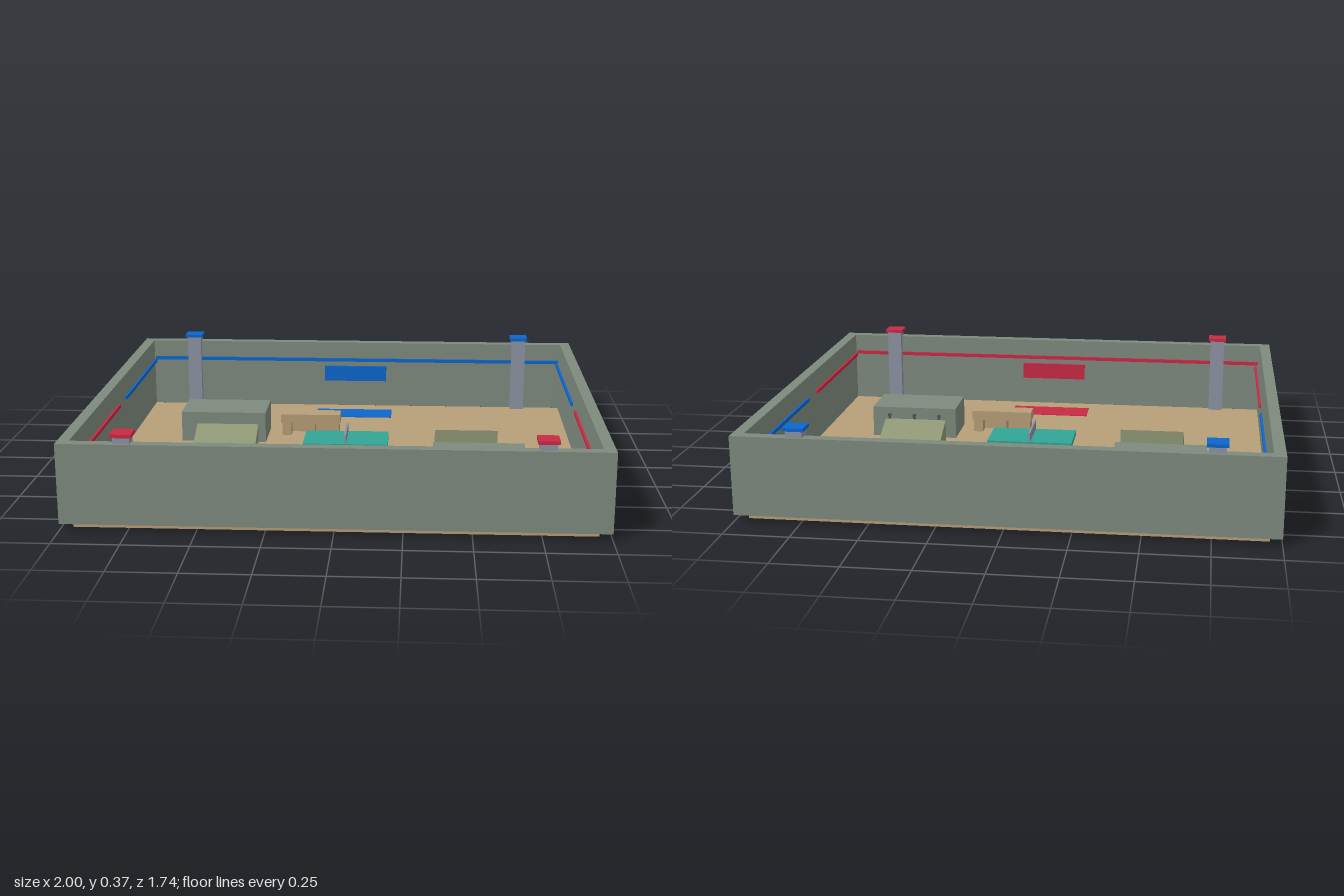
import * as THREE from 'three';

const mat = (name, color) => {
  const m = new THREE.MeshStandardMaterial({ color });
  m.name = name;
  return m;
};

export function createModel() {
  const root = new THREE.Group();
  root.name = 'arena';
  const sand = mat('sand', 0xb79f78);
  const stone = mat('greyGreen', 0x7e8a7e);
  const olive = mat('olive', 0x8f9775);
  const teal = mat('teal', 0x32a595);
  const steel = mat('steel', 0x8d93a3);
  const dark = mat('darkMetal', 0x50565a);
  const blue = mat('blue', 0x0c66cc);
  const red = mat('red', 0xc92a45);

  const FLOOR = 0.026;
  const add = (parent, name, geo, material, x, y, z) => {
    const m = new THREE.Mesh(geo, material);
    m.name = name;
    m.position.set(x, y, z);
    parent.add(m);
    return m;
  };
  // Box given by its centre in x and z and its bottom height
  const box = (parent, name, material, w, h, d, x, y, z) =>
    add(parent, name, new THREE.BoxGeometry(w, h, d), material, x, y + h / 2, z);
  const group = (name, x, z, turn = 0) => {
    const g = new THREE.Group();
    g.name = name;
    g.position.set(x, FLOOR, z);
    g.rotation.y = turn;
    root.add(g);
    return g;
  };

  // Floor slab and surrounding walls
  box(root, 'floor', sand, 1.913, FLOOR, 1.652, 0, 0, 0);
  for (const s of [-1, 1]) {
    box(root, 'endWall', stone, 2, 0.304, 0.0435, 0, FLOOR, s * 0.848);
    box(root, 'sideWall', stone, 0.0435, 0.304, 1.652, s * 0.978, FLOOR, 0);
  }

  // Team markings at each end: posts, stripes, wall panel and floor mat
  for (const [s, team] of [[-1, blue], [1, red]]) {
    for (const x of [-0.761, 0.761]) {
      box(root, 'post', steel, 0.062, 0.328, 0.062, x, FLOOR, s * 0.828);
      box(root, 'postCap', team, 0.078, 0.013, 0.078, x, 0.354, s * 0.828);
      box(root, 'sideStripe', team, 0.009, 0.015, 0.697, Math.sign(x) * 0.937, 0.244, s * 0.413);
    }
    box(root, 'endStripe', team, 1.9, 0.015, 0.009, 0, 0.24, s * 0.822);
    box(root, 'wallPanel', team, 0.29, 0.07, 0.014, 0, 0.148, s * 0.82);
    box(root, 'floorMat', team, 0.348, 0.003, 0.13, 0, FLOOR, s * 0.676);
  }

  // Wedge profile, tall at z = 0 end and running down to the other
  const wedge = new THREE.Shape();
  wedge.moveTo(-0.15, 0);
  wedge.lineTo(0.15, 0);
  wedge.lineTo(-0.15, 0.13);
  const rampGeo = new THREE.ExtrudeGeometry(wedge, { depth: 0.258, bevelEnabled: false });
  rampGeo.translate(0, 0, -0.129);
  rampGeo.rotateY(-Math.PI / 2);

  for (const s of [-1, 1]) {
    // Storage block with three hooks on its rear face
    const block = group('storageBlock', s * 0.543, s * 0.305);
    box(block, 'blockBody', stone, 0.365, 0.13, 0.215, 0, 0, 0);
    for (const x of [-0.109, 0, 0.109]) {
      box(block, 'hookArm', dark, 0.012, 0.01, 0.012, x, 0.092, -0.111);
      box(block, 'hookBar', dark, 0.01, 0.055, 0.006, x, 0.045, -0.114);
    }

    // Ramp sloping down towards the end walls
    const ramp = group('ramp', -s * 0.5, s * 0.128, s > 0 ? 0 : Math.PI);
    add(ramp, 'rampWedge', rampGeo, olive, 0, 0, 0);

    // Bench facing the middle
    const bench = group('bench', s * 0.174, s * 0.345, s > 0 ? Math.PI : 0);
    box(bench, 'benchSeat', sand, 0.26, 0.04, 0.08, 0, 0.055, 0);
    box(bench, 'benchBack', sand, 0.24, 0.055, 0.012, 0, 0, -0.03);
    for (const x of [-0.105, 0, 0.105])
      box(bench, 'benchLeg', sand, 0.04, 0.055, 0.07, x, 0, 0);
  }

  // Central table with net and four legs
  const table = group('table', 0, 0);
  box(table, 'tableTop', teal, 0.35, 0.02, 0.194, 0, 0.065, 0);
  box(table, 'net', steel, 0.008, 0.038, 0.194, 0, 0.085, 0);
  const legGeo = new THREE.CylinderGeometry(0.011, 0.011, 0.066, 12);
  for (const x of [-0.148, 0.148])
    for (const z of [-0.074, 0.074]) add(table, 'tableLeg', legGeo, dark, x, 0.033, z);

  return root;
}
